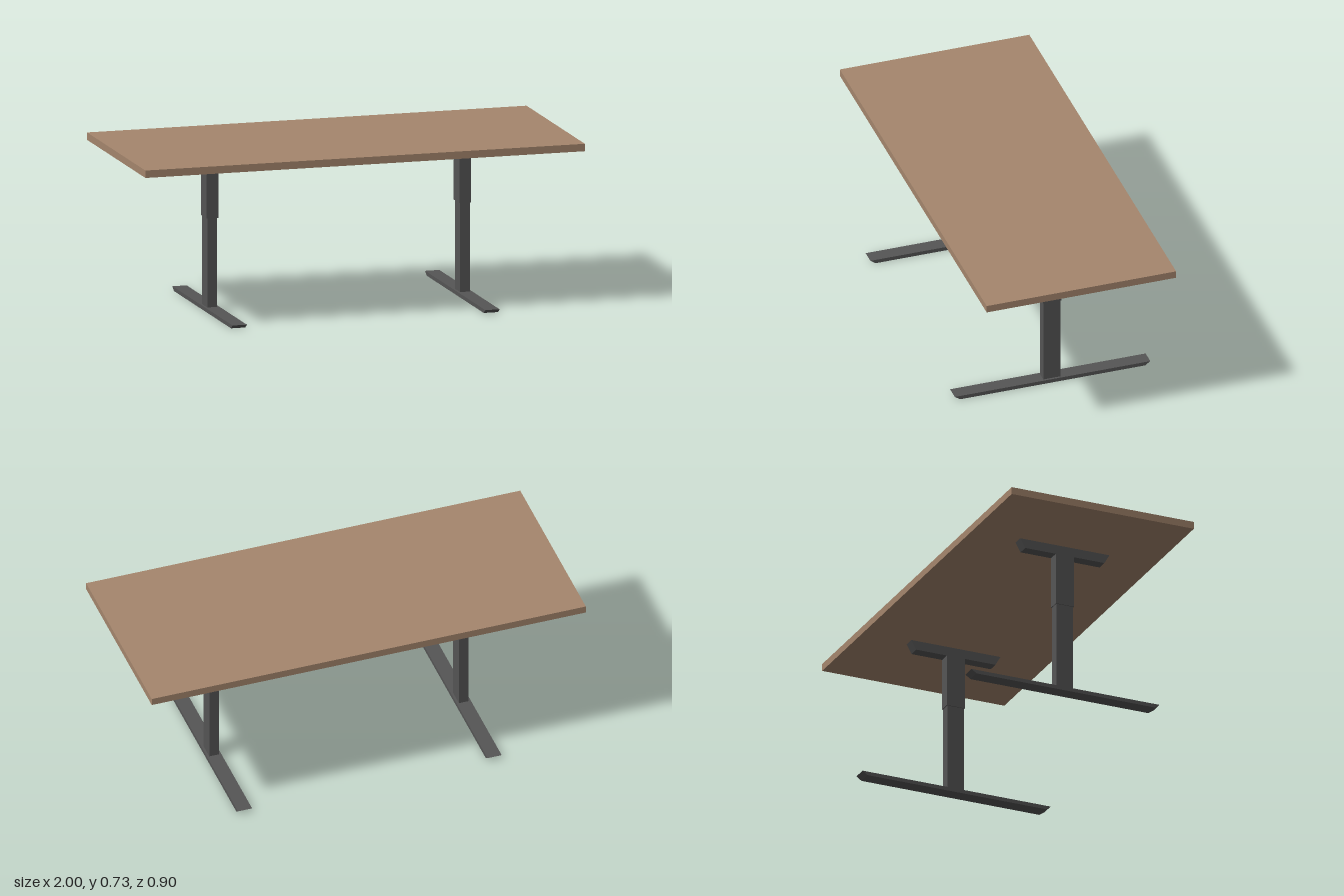
import * as THREE from 'three';

const wood = new THREE.MeshStandardMaterial({ color: 0xa5866d });
wood.name = 'wood brown';
const steel = new THREE.MeshStandardMaterial({ color: 0x555555 });
steel.name = 'dark grey steel';

function box(name, material, width, y0, y1, depth) {
  const mesh = new THREE.Mesh(new THREE.BoxGeometry(width, y1 - y0, depth), material);
  mesh.position.y = (y0 + y1) / 2;
  mesh.name = name;
  return mesh;
}

// Bar running along z whose ends slope inward toward the bottom
function slopedBar(name, width, y0, y1, topHalf, bottomHalf) {
  const shape = new THREE.Shape([
    new THREE.Vector2(-bottomHalf, y0),
    new THREE.Vector2(bottomHalf, y0),
    new THREE.Vector2(topHalf, y1),
    new THREE.Vector2(-topHalf, y1),
  ]);
  const geometry = new THREE.ExtrudeGeometry(shape, { depth: width, bevelEnabled: false });
  geometry.translate(0, 0, -width / 2).rotateY(-Math.PI / 2);
  const mesh = new THREE.Mesh(geometry, steel);
  mesh.name = name;
  return mesh;
}

// One telescopic leg with its foot and top bracket
function createLeg(name, x) {
  const leg = new THREE.Group();
  leg.name = name;
  leg.position.x = x;
  leg.add(
    slopedBar('foot', 0.065, 0, 0.017, 0.449, 0.425),
    box('lowerColumn', steel, 0.045, 0.017, 0.413, 0.079),
    box('upperColumn', steel, 0.053, 0.413, 0.692, 0.086),
    slopedBar('topBracket', 0.05, 0.651, 0.693, 0.213, 0.189),
  );
  return leg;
}

export function createModel() {
  const desk = new THREE.Group();
  desk.name = 'desk';
  desk.add(box('tabletop', wood, 2, 0.693, 0.726, 0.87));
  desk.add(createLeg('leftLeg', 0.575), createLeg('rightLeg', -0.575));
  return desk;
}
